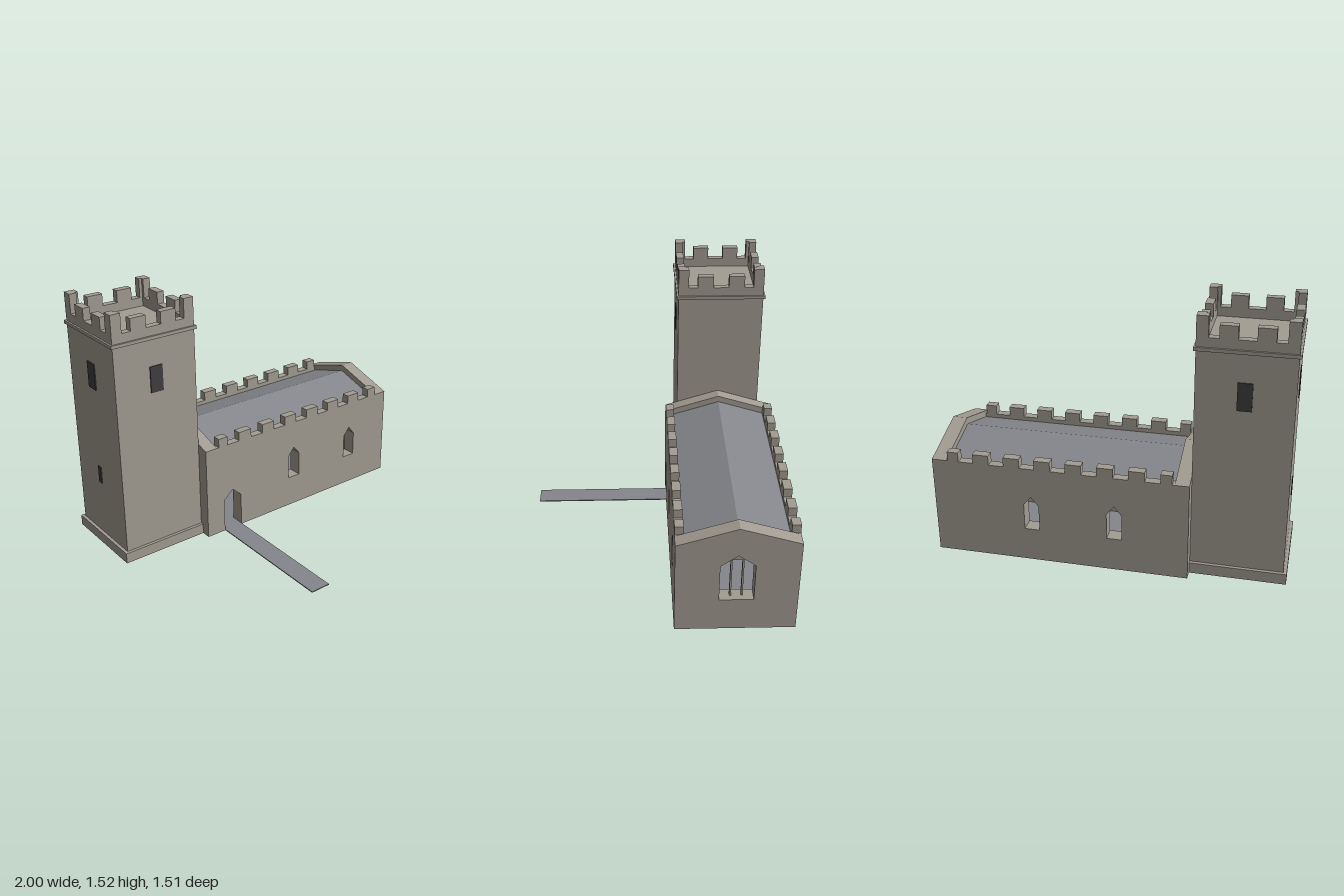
import * as THREE from 'three';

const stone = new THREE.MeshStandardMaterial({ color: 0xa39d92 });
stone.name = 'stone';
const slate = new THREE.MeshStandardMaterial({ color: 0x85878c });
slate.name = 'slate grey';
const dark = new THREE.MeshStandardMaterial({ color: 0x403e3e });
dark.name = 'dark opening';

const MID_Z = -0.418;   // shared centre line of tower and nave
const TOWER_X = -0.72;

function add(parent, name, geometry, material, x = 0, y = 0, z = 0) {
  const mesh = new THREE.Mesh(geometry, material);
  mesh.name = name;
  mesh.position.set(x, y, z);
  parent.add(mesh);
  return mesh;
}

// Box given by its minimum and maximum corners
function block(parent, name, material, [x0, y0, z0], [x1, y1, z1]) {
  return add(parent, name, new THREE.BoxGeometry(x1 - x0, y1 - y0, z1 - z0), material,
    (x0 + x1) / 2, (y0 + y1) / 2, (z0 + z1) / 2);
}

const polygon = (pts) => new THREE.Shape(pts.map(([x, y]) => new THREE.Vector2(x, y)));
const extrude = (shape, depth) => new THREE.ExtrudeGeometry(shape, { depth, bevelEnabled: false });

// Pointed opening outline, starting and ending at the sill
const pointed = (c, w, sill, spring, apex) => [
  [c - w / 2, sill], [c - w / 2, spring], [c, apex], [c + w / 2, spring], [c + w / 2, sill]];

// Wall with merlons [from, to, top], an optional ground-level door and pointed windows
function wallShape(u0, u1, base, top, merlons, door, windows = []) {
  const pts = [[u0, base], ...(door || []), [u1, base], [u1, top]];
  for (const [a, b, h] of [...merlons].reverse()) pts.push([b, top], [b, h], [a, h], [a, top]);
  pts.push([u0, top]);
  const clean = pts.filter((p, i) => !i || p[0] !== pts[i - 1][0] || p[1] !== pts[i - 1][1]);
  const shape = polygon(clean);
  for (const c of windows) shape.holes.push(polygon(pointed(c, 0.086, 0.2, 0.355, 0.408)));
  return shape;
}

function createTower() {
  const g = new THREE.Group();
  g.name = 'tower';
  g.position.set(TOWER_X, 0, MID_Z);
  block(g, 'plinth', stone, [-0.28, 0, -0.28], [0.26, 0.065, 0.28]);
  block(g, 'towerBody', stone, [-0.261, 0.065, -0.261], [0.261, 1.355, 0.261]);
  block(g, 'stringCourse', stone, [-0.272, 1.335, -0.272], [0.272, 1.355, 0.272]);

  // Battlements: four equal sides with taller corners
  const merlons = [[-0.261, -0.198, 1.523], [-0.143, -0.047, 1.48],
    [0.047, 0.143, 1.48], [0.198, 0.261, 1.523]];
  const side = extrude(wallShape(-0.261, 0.261, 1.355, 1.408, merlons), 0.045);
  side.translate(0, 0, 0.261 - 0.045);
  for (let i = 0; i < 4; i++) add(g, 'battlement', side, stone).rotation.y = i * Math.PI / 2;

  // Dark belfry openings on front, back and west, and a slit low on the west
  for (const s of [-1, 1])
    add(g, 'belfryOpening', new THREE.BoxGeometry(0.08, 0.157, 0.008), dark, 0, 1.099, s * 0.263);
  add(g, 'belfryOpening', new THREE.BoxGeometry(0.008, 0.157, 0.08), dark, -0.263, 1.099, 0);
  add(g, 'slitWindow', new THREE.BoxGeometry(0.008, 0.105, 0.03), dark, -0.263, 0.468, 0);
  return g;
}

function createNave() {
  const g = new THREE.Group();
  g.name = 'nave';
  const X0 = -0.38, X1 = 0.915, FRONT = -0.08, BACK = -0.756;
  const EAVE = 0.585, INNER = 0.54, PARAPET = 0.05, LINING = 0.035;

  // Long walls: crenellated outer skin plus a lower inner lining
  const merlons = [[-0.366, -0.302, 0.64]];
  for (let i = 0; i < 6; i++) merlons.push([-0.216 + i * 0.1765, -0.125 + i * 0.1765, 0.64]);
  merlons.push([0.843, 0.907, 0.64]);
  const door = pointed(-0.272, 0.125, 0, 0.212, 0.27);
  const walls = [
    { name: 'frontWall', door, windows: [0.2125, 0.685], outer: FRONT - PARAPET, inner: FRONT - PARAPET - LINING },
    { name: 'backWall', door: null, windows: [-0.045, 0.43], outer: BACK, inner: BACK + PARAPET },
  ];
  for (const w of walls) {
    add(g, w.name, extrude(wallShape(X0, X1, 0, EAVE, merlons, w.door, w.windows), PARAPET), stone, 0, 0, w.outer);
    add(g, w.name + 'Lining', extrude(wallShape(X0, X1, 0, INNER, [], w.door, w.windows), LINING), stone, 0, 0, w.inner);
  }

  // Gable walls, the east one pierced by the large window
  const half = 0.338;
  const gable = () => polygon([[-half, 0], [half, 0], [half, EAVE], [0, 0.69], [-half, EAVE]]);
  const east = gable();
  east.holes.push(polygon(pointed(0, 0.19, 0.208, 0.443, 0.513)));
  const along = (name, shape, length, material, x) => {
    add(g, name, extrude(shape, length), material, x, 0, MID_Z).rotation.y = Math.PI / 2;
  };
  along('eastGable', east, 0.085, stone, X1);
  along('westGable', gable(), 0.08, stone, -0.46);
  block(g, 'westLining', stone, [X0, 0, BACK + 0.085], [-0.31, INNER, FRONT - 0.085]);

  // Tracery of the east window
  for (const s of [-1, 1])
    block(g, 'mullion', stone, [0.945, 0.208, MID_Z + s * 0.032 - 0.005], [0.965, 0.46, MID_Z + s * 0.032 + 0.005]);
  along('transom', polygon([[-0.075, 0.458], [0.075, 0.458], [0.04, 0.484], [-0.04, 0.484]]), 0.02, stone, 0.945);

  // Low pitched roof between the parapets
  const r = half - PARAPET;
  along('roof', polygon([[-r, INNER], [r, INNER], [r, 0.56], [0, 0.65], [-r, 0.56]]), X1 - X0, slate, X0);

  // Floor and font inside
  block(g, 'floor', slate, [-0.31, 0, BACK + 0.085], [X1, 0.006, FRONT - 0.085]);
  const profile = [[0, 0.006], [0.036, 0.006], [0.036, 0.02], [0.02, 0.03], [0.018, 0.07],
    [0.036, 0.085], [0.04, 0.11], [0.031, 0.11], [0.024, 0.092], [0, 0.09]];
  const font = new THREE.LatheGeometry(profile.map(([x, y]) => new THREE.Vector2(x, y)), 16);
  add(g, 'font', font, stone, -0.25, 0, MID_Z);
  return g;
}

export function createModel() {
  const model = new THREE.Group();
  model.name = 'church';
  model.add(createTower(), createNave());
  block(model, 'path', slate, [-0.334, 0, -0.165], [-0.21, 0.006, 0.756]);
  return model;
}
